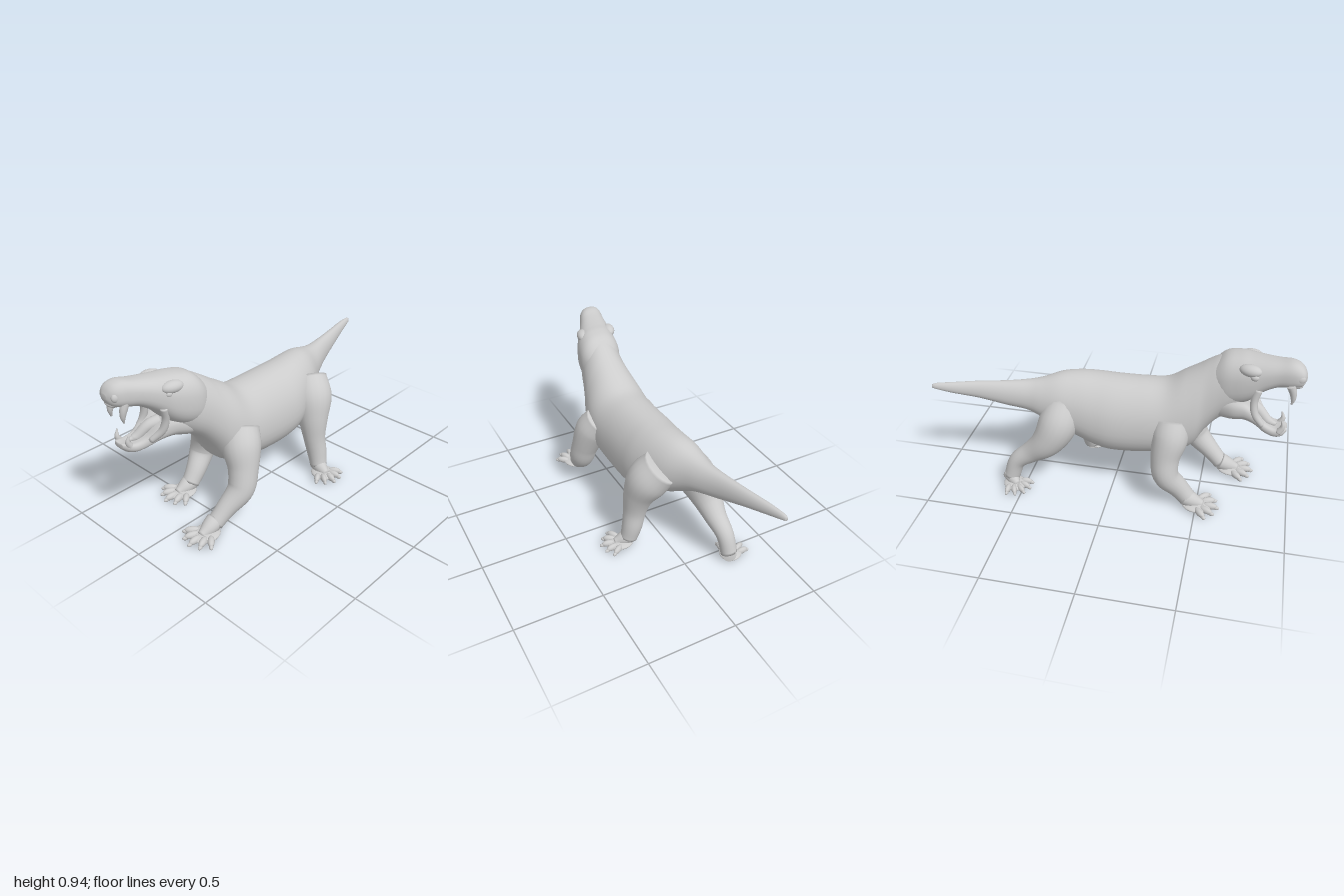
import * as THREE from 'three';

const skin = new THREE.MeshStandardMaterial({ color: 0xcccccc });
const V = (p) => new THREE.Vector3(p[0], p[1], p[2]);

function mesh(name, geometry) {
  const m = new THREE.Mesh(geometry, skin);
  m.name = name;
  return m;
}

// Closed skin over rings of points, with a centre point capping each end
function skinRings(rings) {
  const n = rings[0].length, last = rings.length - 1, pos = [], idx = [];
  rings.forEach((r) => r.forEach((p) => pos.push(p.x, p.y, p.z)));
  for (const r of [rings[0], rings[last]]) {
    const c = r.reduce((s, p) => s.add(p), new THREE.Vector3()).divideScalar(n);
    pos.push(c.x, c.y, c.z);
  }
  const c0 = rings.length * n, c1 = c0 + 1;
  for (let j = 0; j < n; j++) {
    const k = (j + 1) % n;
    for (let i = 0; i < last; i++) {
      const a = i * n + j, b = i * n + k;
      idx.push(a, b, b + n, a, b + n, a + n);
    }
    idx.push(c0, k, j, c1, last * n + j, last * n + k);
  }
  const g = new THREE.BufferGeometry();
  g.setAttribute('position', new THREE.Float32BufferAttribute(pos, 3));
  g.setIndex(idx);
  g.computeVertexNormals();
  return g;
}

// Smooth interpolation through rows of numbers
function smoothRows(rows, steps) {
  const out = [], at = (i) => rows[Math.max(0, Math.min(rows.length - 1, i))];
  for (let i = 0; i < rows.length - 1; i++) {
    for (let s = 0; s < steps; s++) {
      const t = s / steps;
      out.push(at(i).map((b, k) => {
        const a = at(i - 1)[k], c = at(i + 1)[k], d = at(i + 2)[k];
        return b + 0.5 * t * (c - a + t * (2 * a - 5 * b + 4 * c - d + t * (3 * (b - c) + d - a)));
      }));
    }
  }
  out.push(rows[rows.length - 1]);
  return out;
}

// Loft along z; rows are [z, centre x, top, bottom, half width]. taper narrows the
// upper half, square fills out the corners, dent hollows the top
function loft(name, rows, { taper = 0, square = 1, dent = 0 } = {}) {
  const rings = smoothRows(rows, 5).map(([z, cx, top, bot, hw]) => {
    const ring = [], cy = (top + bot) / 2, hh = (top - bot) / 2;
    for (let j = 0; j < 36; j++) {
      const a = (j / 36) * Math.PI * 2, c = Math.cos(a), s = Math.sin(a);
      const x = Math.sign(c) * Math.abs(c) ** square * (1 - taper * s);
      const hollow = s > 0 ? dent * s ** 4 : 0;
      ring.push(new THREE.Vector3(cx + hw * x, cy + hh * (Math.sign(s) * Math.abs(s) ** square - hollow), z));
    }
    return ring;
  });
  return mesh(name, skinRings(rings));
}

// Round limb through [x, y, z, radius]
function limb(name, pts, sides = 20) {
  const curve = new THREE.CatmullRomCurve3(pts.map(V));
  const N = (pts.length - 1) * 7, f = curve.computeFrenetFrames(N);
  const radii = smoothRows(pts.map((p) => [p[3]]), 7);
  const rings = [];
  for (let i = 0; i <= N; i++) {
    const c = curve.getPoint(i / N), ring = [];
    for (let j = 0; j < sides; j++) {
      const a = (j / sides) * Math.PI * 2, r = radii[i][0];
      ring.push(c.clone().addScaledVector(f.normals[i], r * Math.cos(a))
        .addScaledVector(f.binormals[i], r * Math.sin(a)));
    }
    rings.push(ring);
  }
  return mesh(name, skinRings(rings));
}

function blob(name, p, s, yaw = 0) {
  const m = mesh(name, new THREE.SphereGeometry(1, 20, 14));
  m.position.set(...p);
  m.scale.set(...s);
  m.rotation.y = yaw;
  return m;
}

// Splayed foot: domed instep, flat sole pad and five short toes
function foot(name, x, z, yaw, size) {
  const g = new THREE.Group();
  g.name = name;
  g.add(blob('solePad', [0, 0.018, 0.05], [0.075, 0.018, 0.085]));
  g.add(limb('instep', [[0, 0.06, -0.02, 0.05], [0, 0.04, 0.03, 0.042], [0, 0.024, 0.085, 0.022]]));
  for (let i = -2; i <= 2; i++) {
    const a = i * 0.4, r = 0.115 - 0.008 * Math.abs(i);
    g.add(blob('toe', [Math.sin(a) * r, 0.021, Math.cos(a) * r + 0.01], [0.019, 0.02, 0.042], a));
    g.add(blob('claw', [Math.sin(a) * (r + 0.035), 0.013, Math.cos(a) * (r + 0.035) + 0.01], [0.011, 0.012, 0.02], a));
  }
  g.position.set(x, 0, z);
  g.rotation.y = yaw;
  g.scale.set(size, 1, size);
  return g;
}

export function createModel() {
  const model = new THREE.Group();
  model.name = 'reptile';

  // Trunk, tail and neck in one skin
  model.add(loft('body', [
    [-1, -0.235, 0.62, 0.598, 0.008], [-0.97, -0.23, 0.628, 0.59, 0.016],
    [-0.88, -0.21, 0.632, 0.567, 0.026], [-0.75, -0.175, 0.635, 0.535, 0.036],
    [-0.6, -0.14, 0.635, 0.49, 0.052], [-0.48, -0.11, 0.64, 0.46, 0.075],
    [-0.4, -0.095, 0.655, 0.42, 0.1], [-0.3, -0.07, 0.685, 0.36, 0.14],
    [-0.2, -0.05, 0.692, 0.31, 0.165], [-0.1, -0.04, 0.688, 0.265, 0.185],
    [0, -0.04, 0.685, 0.245, 0.193], [0.15, -0.035, 0.685, 0.25, 0.193],
    [0.28, -0.03, 0.695, 0.27, 0.193], [0.38, -0.025, 0.755, 0.29, 0.185],
    [0.45, -0.025, 0.8, 0.335, 0.168], [0.5, -0.025, 0.835, 0.42, 0.148],
    [0.56, -0.03, 0.872, 0.5, 0.133], [0.62, -0.038, 0.892, 0.55, 0.122],
    [0.68, -0.055, 0.89, 0.59, 0.1],
  ], { taper: 0.16, square: 0.92 }));

  // Head, turned slightly to its right, jaws wide open
  const head = new THREE.Group();
  head.name = 'head';
  model.add(head);
  head.add(loft('skull', [
    [0.5, -0.025, 0.8, 0.66, 0.08], [0.58, -0.03, 0.888, 0.62, 0.122],
    [0.66, -0.042, 0.912, 0.63, 0.128], [0.73, -0.06, 0.915, 0.67, 0.118],
    [0.79, -0.08, 0.918, 0.735, 0.1], [0.86, -0.102, 0.925, 0.782, 0.082],
    [0.92, -0.12, 0.936, 0.795, 0.073], [0.96, -0.13, 0.928, 0.805, 0.064],
    [0.985, -0.137, 0.908, 0.82, 0.048], [1, -0.14, 0.878, 0.85, 0.018],
  ], { taper: 0.06, square: 0.8 }));
  head.add(loft('lowerJaw', [
    [0.56, -0.04, 0.67, 0.54, 0.1], [0.64, -0.065, 0.7, 0.55, 0.118],
    [0.71, -0.085, 0.7, 0.565, 0.108], [0.77, -0.108, 0.655, 0.55, 0.088],
    [0.82, -0.132, 0.6, 0.522, 0.072], [0.87, -0.148, 0.578, 0.51, 0.064],
    [0.91, -0.157, 0.585, 0.52, 0.056], [0.935, -0.16, 0.578, 0.545, 0.03],
  ], { square: 0.85, dent: 0.45 }));
  head.add(limb('tongue', [[-0.09, 0.64, 0.72, 0.035], [-0.115, 0.625, 0.78, 0.03],
    [-0.142, 0.575, 0.84, 0.024], [-0.152, 0.568, 0.88, 0.01]]));
  for (const s of [-1, 1]) {
    head.add(limb('cheek', [[-0.075 + s * 0.085, 0.77, 0.77, 0.022], [-0.085 + s * 0.083, 0.7, 0.755, 0.02],
      [-0.1 + s * 0.08, 0.63, 0.765, 0.02], [-0.125 + s * 0.062, 0.57, 0.81, 0.016]]));
    head.add(blob('brow', [-0.062 + s * 0.085, 0.868, 0.72], [0.036, 0.032, 0.06], -0.25));
    head.add(blob('eye', [-0.07 + s * 0.1, 0.842, 0.745], [0.016, 0.018, 0.022]));
    head.add(blob('nostril', [-0.133 + s * 0.044, 0.865, 0.966], [0.018, 0.026, 0.026]));
    // Long upper canines and hooked lower tusks
    const ux = -0.13 + s * 0.05;
    head.add(limb('upperCanine', [[ux, 0.825, 0.925, 0.023], [ux, 0.785, 0.94, 0.019],
      [ux - 0.002, 0.75, 0.945, 0.013], [ux - 0.004, 0.72, 0.94, 0.005]], 12));
    const lx = -0.157 + s * 0.043;
    head.add(limb('lowerTusk', [[lx, 0.55, 0.895, 0.018], [lx, 0.585, 0.912, 0.013],
      [lx + s * 0.004, 0.622, 0.905, 0.004]], 12));
  }
  head.add(blob('upperLip', [-0.137, 0.818, 0.955], [0.045, 0.02, 0.035]));

  // Legs caught in mid stride
  const legs = [
    ['leftFrontLeg', [[0.09, 0.5, 0.34, 0.1], [0.135, 0.42, 0.38, 0.105], [0.175, 0.31, 0.41, 0.082],
      [0.188, 0.21, 0.445, 0.074], [0.165, 0.12, 0.535, 0.054], [0.148, 0.05, 0.605, 0.046]], 0.145, 0.62, 0.02, 1],
    ['rightFrontLeg', [[-0.14, 0.5, 0.33, 0.1], [-0.185, 0.42, 0.33, 0.1], [-0.225, 0.31, 0.315, 0.08],
      [-0.245, 0.21, 0.325, 0.072], [-0.225, 0.12, 0.395, 0.058], [-0.22, 0.05, 0.45, 0.05]], -0.225, 0.455, -0.06, 1],
    ['leftHindLeg', [[0.03, 0.54, -0.28, 0.11], [0.095, 0.45, -0.24, 0.118], [0.135, 0.34, -0.21, 0.088],
      [0.155, 0.23, -0.2, 0.066], [0.175, 0.13, -0.205, 0.058], [0.195, 0.05, -0.2, 0.05]], 0.2, -0.195, 1.35, 0.9],
    ['rightHindLeg', [[-0.11, 0.53, -0.28, 0.1], [-0.175, 0.42, -0.3, 0.112], [-0.21, 0.31, -0.36, 0.09],
      [-0.215, 0.23, -0.45, 0.064], [-0.225, 0.16, -0.54, 0.05], [-0.235, 0.05, -0.58, 0.046]], -0.235, -0.585, -0.75, 0.85],
  ];
  for (const [name, path, x, z, yaw, size] of legs) {
    const leg = new THREE.Group();
    leg.name = name;
    leg.add(limb('limb', path), foot('foot', x, z, yaw, size));
    model.add(leg);
  }
  return model;
}
